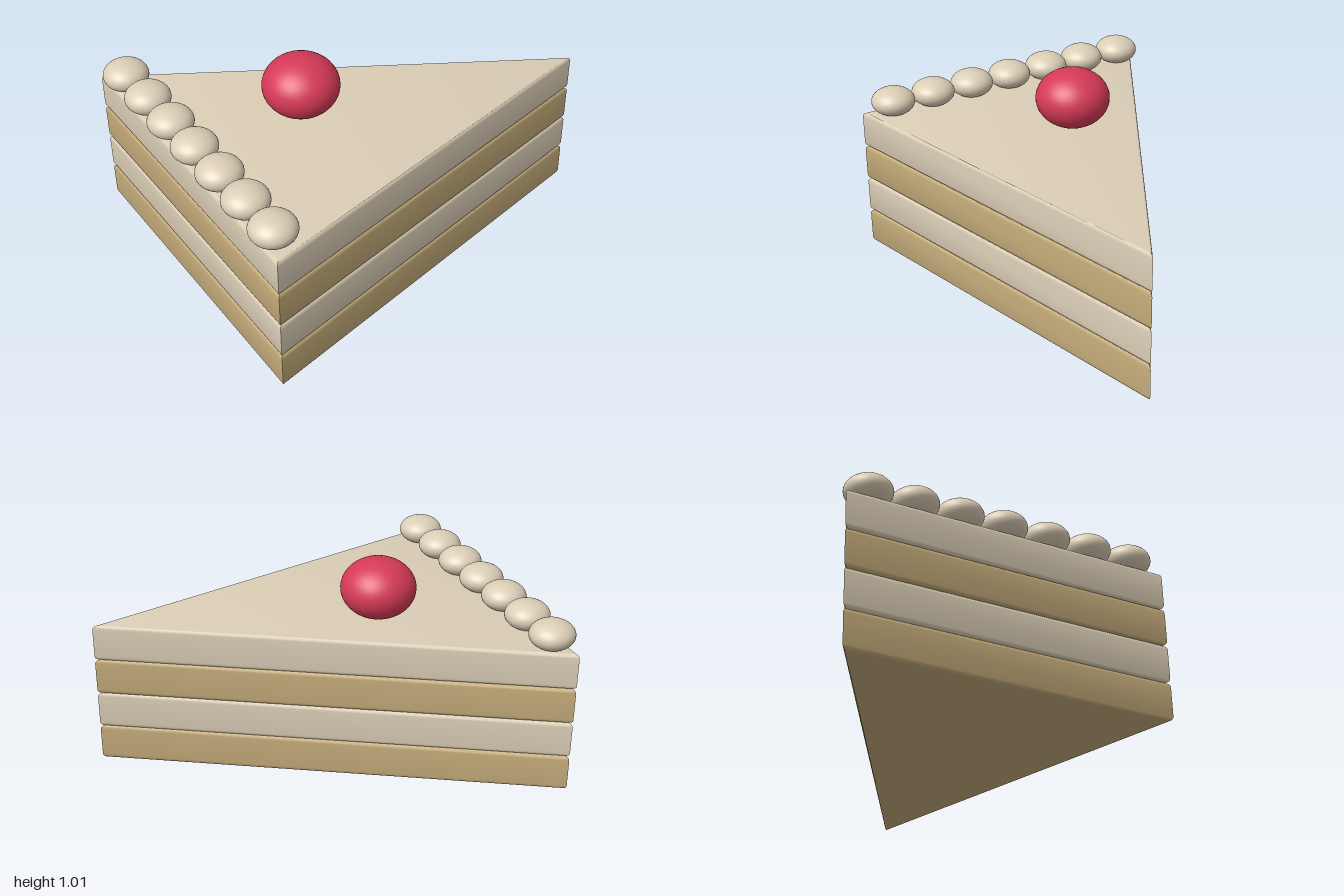
import * as THREE from 'three';
import { toCreasedNormals } from 'three/addons/utils/BufferGeometryUtils.js';

const material = (name, color) => {
  const m = new THREE.MeshStandardMaterial({ color });
  m.name = name;
  return m;
};

export function createModel() {
  const cream = material('cream', 0xdbceb6);
  const sponge = material('sponge', 0xc4ab7a);
  const red = material('cherry red', 0xd63a57);

  const cake = new THREE.Group();
  cake.name = 'cakeSlice';

  // Wedge outline: points are (x, -z)
  const outline = new THREE.Shape([
    new THREE.Vector2(-0.96, -0.795),
    new THREE.Vector2(0.995, -0.36),
    new THREE.Vector2(-0.96, 0.8),
  ]);

  // One layer with softly rounded top and bottom rims
  const height = 0.183, bevel = 0.02;
  let layer = new THREE.ExtrudeGeometry(outline, {
    depth: height - 2 * bevel,
    bevelSize: bevel,
    bevelOffset: -bevel,
    bevelThickness: bevel,
    bevelSegments: 4,
  });
  layer.rotateX(-Math.PI / 2).translate(0, bevel, 0);
  layer = toCreasedNormals(layer, 0.6);

  // Alternating sponge and cream layers
  for (let i = 0; i < 4; i++) {
    const mesh = new THREE.Mesh(layer, i % 2 ? cream : sponge);
    mesh.name = (i % 2 ? 'creamLayer' : 'spongeLayer') + (i < 2 ? 'Lower' : 'Upper');
    mesh.position.y = i * height;
    cake.add(mesh);
  }

  const ball = new THREE.SphereGeometry(1, 40, 24);

  // Row of cream dollops along the back rim of the slice
  const dollops = new THREE.Group();
  dollops.name = 'creamDollops';
  for (let i = 0; i < 7; i++) {
    const dollop = new THREE.Mesh(ball, cream);
    dollop.name = 'dollop' + (i + 1);
    dollop.scale.set(0.109, 0.07, 0.109);
    dollop.position.set(-0.891, 0.79, -0.665 + i * 0.22);
    dollops.add(dollop);
  }
  cake.add(dollops);

  // Cherry resting on top
  const cherry = new THREE.Mesh(ball, red);
  cherry.name = 'cherry';
  cherry.scale.set(0.182, 0.146, 0.182);
  cherry.position.set(-0.307, 0.863, -0.04);
  cake.add(cherry);

  return cake;
}
